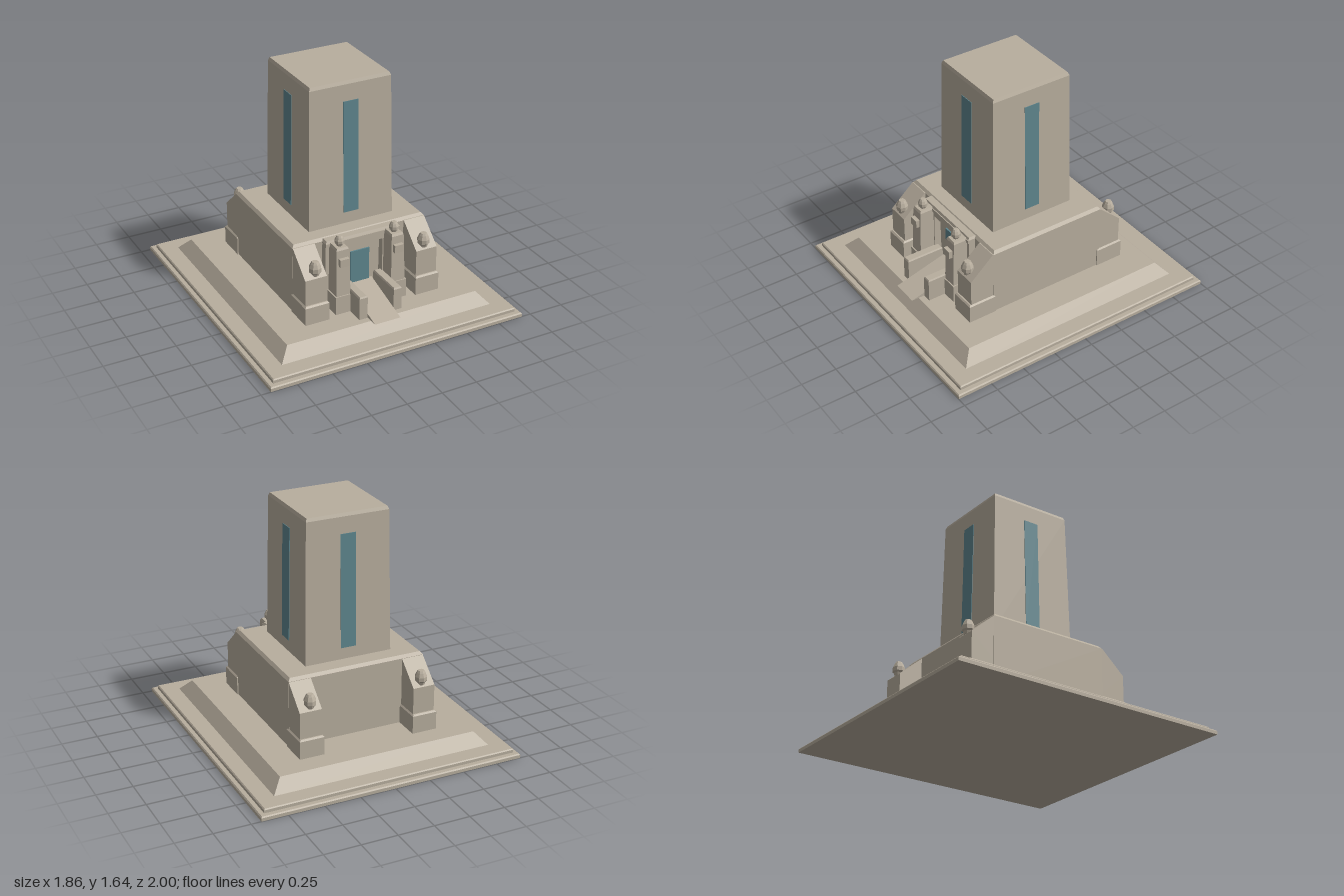
import * as THREE from 'three';

const stone = new THREE.MeshStandardMaterial({ color: 0xb8ae9e });
stone.name = 'stone';
const glass = new THREE.MeshStandardMaterial({ color: 0x5f868e });
glass.name = 'blueGlass';

function add(parent, name, geometry, material = stone) {
  const mesh = new THREE.Mesh(geometry, material);
  mesh.name = name;
  parent.add(mesh);
  return mesh;
}

// Box given by its bounds
function block(parent, name, x0, x1, y0, y1, z0, z1, material) {
  const g = new THREE.BoxGeometry(x1 - x0, y1 - y0, z1 - z0);
  g.translate((x0 + x1) / 2, (y0 + y1) / 2, (z0 + z1) / 2);
  return add(parent, name, g, material);
}

// Four-sided block tapering from half sizes [bx, bz] to [tx, tz]
function frustum(parent, name, bx, bz, tx, tz, y0, y1, x = 0, z = 0) {
  const g = new THREE.BoxGeometry(2, y1 - y0, 2).toNonIndexed();
  const p = g.attributes.position;
  for (let i = 0; i < p.count; i++) {
    const top = p.getY(i) > 0;
    p.setX(i, p.getX(i) * (top ? tx : bx));
    p.setZ(i, p.getZ(i) * (top ? tz : bz));
  }
  g.translate(x, (y0 + y1) / 2, z);
  g.computeVertexNormals();
  return add(parent, name, g);
}

// Outline in (z, y), extruded across x
function sideProfile(parent, name, points, width, x = 0) {
  const shape = new THREE.Shape(points.map(([z, y]) => new THREE.Vector2(z, y)));
  const g = new THREE.ExtrudeGeometry(shape, { depth: width, bevelEnabled: false });
  g.translate(0, 0, -width / 2);
  g.rotateY(-Math.PI / 2);
  g.translate(x, 0, 0);
  return add(parent, name, g);
}

// Faceted urn finial
const urnProfile = [[0, 0], [0.6, 0], [0.75, 0.2], [1, 0.3], [1, 0.58], [0.72, 0.85], [0.5, 1], [0, 1]];
function urn(parent, x, y, z, r, h) {
  const pts = urnProfile.map(([a, b]) => new THREE.Vector2(a * r, b * h));
  const g = new THREE.LatheGeometry(pts, 8).toNonIndexed();
  g.computeVertexNormals();
  add(parent, 'urnFinial', g).position.set(x, y, z);
}

function buildEntrance() {
  const entrance = new THREE.Group();
  entrance.name = 'entrance';
  block(entrance, 'door', -0.07, 0.07, 0.23, 0.48, 0.43, 0.44, glass);
  block(entrance, 'lintel', -0.155, 0.155, 0.545, 0.585, 0.42, 0.475);
  block(entrance, 'upperLintel', -0.275, 0.275, 0.585, 0.61, 0.42, 0.485);
  frustum(entrance, 'cornice', 0.275, 0.033, 0.265, 0.025, 0.61, 0.626, 0, 0.446);
  sideProfile(entrance, 'ramp', [[0.42, 0.14], [0.82, 0.14], [0.42, 0.25]], 0.19);
  for (const s of [-1, 1]) {
    frustum(entrance, 'jamb', 0.068, 0.04, 0.063, 0.03, 0.14, 0.59, s * 0.212, 0.445);
    block(entrance, 'sidePlinth', s * 0.298 - 0.024, s * 0.298 + 0.024, 0.14, 0.27, 0.42, 0.465);
    // Pillar with plaque and urn
    block(entrance, 'pillarPlinth', s * 0.208 - 0.056, s * 0.208 + 0.056, 0.14, 0.27, 0.44, 0.6);
    frustum(entrance, 'pillar', 0.052, 0.072, 0.045, 0.058, 0.27, 0.6, s * 0.204, 0.52);
    frustum(entrance, 'pillarCap', 0.045, 0.058, 0.038, 0.05, 0.6, 0.615, s * 0.204, 0.52);
    block(entrance, 'plaque', s * 0.202 - 0.033, s * 0.202 + 0.033, 0.49, 0.545, 0.56, 0.608);
    urn(entrance, s * 0.202, 0.612, 0.53, 0.033, 0.073);
    // Low wall beside the ramp
    block(entrance, 'rampWall', s * 0.127 - 0.03, s * 0.127 + 0.03, 0.14, 0.295, 0.45, 0.724);
    frustum(entrance, 'rampWallCap', 0.03, 0.137, 0.024, 0.131, 0.295, 0.305, s * 0.127, 0.587);
  }
  return entrance;
}

function buildButtresses(angle) {
  const pair = new THREE.Group();
  pair.name = angle ? 'backButtresses' : 'frontButtresses';
  for (const s of [-1, 1]) {
    const x = s * 0.411;
    block(pair, 'buttressPlinth', x - 0.088, x + 0.088, 0.14, 0.265, 0.42, 0.625);
    frustum(pair, 'plinthBevel', 0.088, 0.1025, 0.078, 0.0925, 0.265, 0.275, x, 0.5225);
    sideProfile(pair, 'buttress',
      [[0.4, 0.27], [0.606, 0.27], [0.606, 0.46], [0.435, 0.612], [0.4, 0.612]], 0.156, x);
    urn(pair, s * 0.403, 0.47, 0.575, 0.042, 0.1);
  }
  pair.rotation.y = angle;
  return pair;
}

function buildTower() {
  const tower = new THREE.Group();
  tower.name = 'tower';
  frustum(tower, 'towerShaft', 0.312, 0.312, 0.295, 0.295, 0.62, 1.615);
  frustum(tower, 'towerCap', 0.295, 0.295, 0.286, 0.286, 1.615, 1.637);
  // One tall window on each leaning face
  for (let i = 0; i < 4; i++) {
    const side = new THREE.Group();
    side.name = 'windowSide';
    side.rotation.y = i * Math.PI / 2;
    const win = add(side, 'tallWindow', new THREE.BoxGeometry(0.11, 0.79, 0.008), glass);
    win.position.set(0, 1.105, 0.3037);
    win.rotation.x = -Math.atan(0.017 / 0.995);
    tower.add(side);
  }
  return tower;
}

export function createModel() {
  const model = new THREE.Group();
  model.name = 'monument';

  // Stepped base
  block(model, 'baseSlab', -0.932, 0.932, 0, 0.022, -1, 1);
  frustum(model, 'baseSlabBevel', 0.932, 1, 0.925, 0.993, 0.022, 0.03);
  block(model, 'secondSlab', -0.897, 0.897, 0.03, 0.05, -0.963, 0.963);
  frustum(model, 'secondSlabBevel', 0.897, 0.963, 0.89, 0.956, 0.05, 0.057);
  frustum(model, 'mound', 0.777, 0.842, 0.703, 0.768, 0.057, 0.14);

  // Main hall with a bevelled roof edge
  block(model, 'hall', -0.491, 0.491, 0.14, 0.61, -0.44, 0.43);
  frustum(model, 'hallRoof', 0.491, 0.435, 0.474, 0.418, 0.61, 0.63, 0, -0.005);

  model.add(buildButtresses(0), buildButtresses(Math.PI), buildEntrance(), buildTower());
  return model;
}
